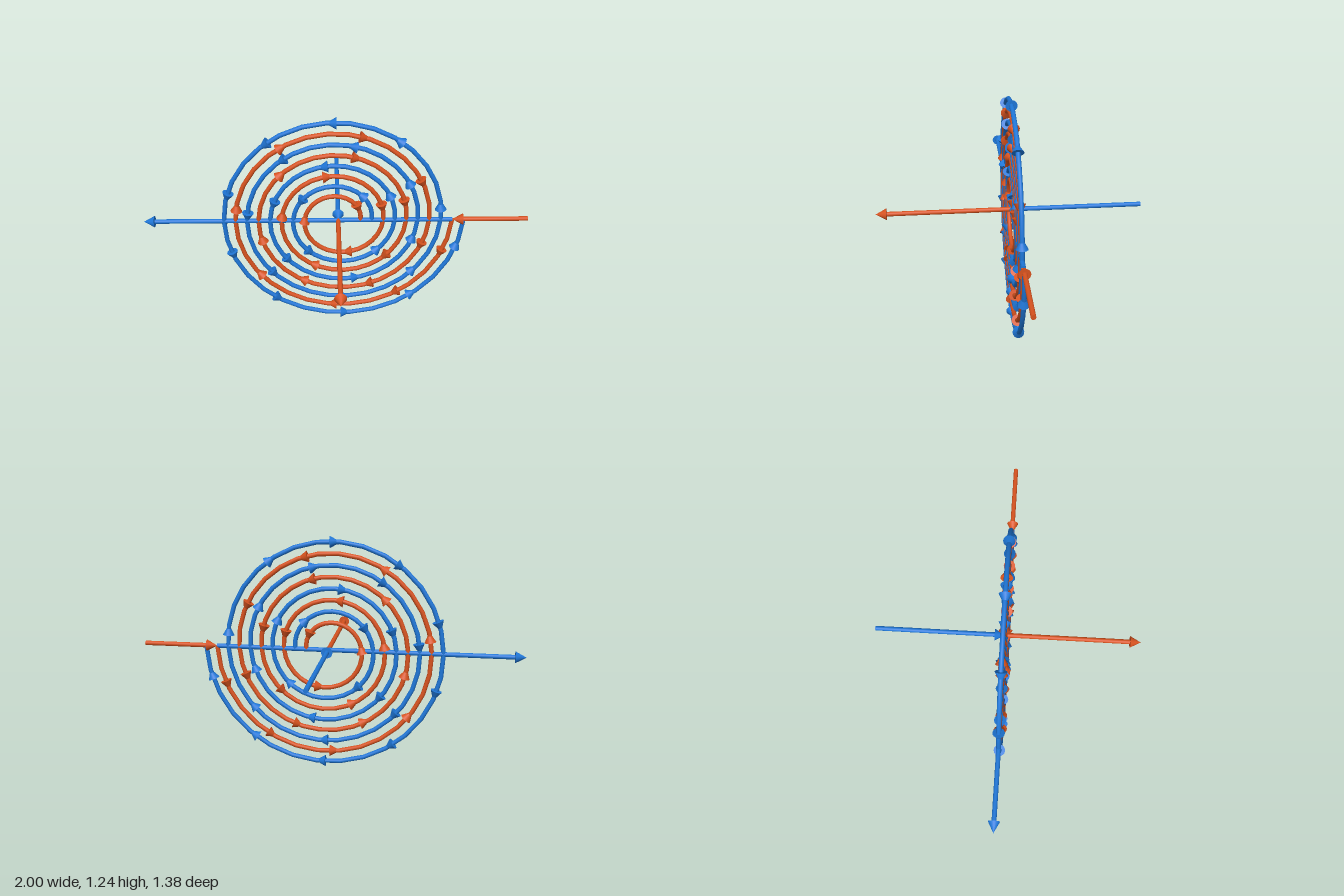
import * as THREE from 'three';

const CENTRE = new THREE.Vector3(0.01, 0.657, -0.011);
const ROD = 0.012, HEAD = 0.03, HEAD_LEN = 0.056;
const TURNS = 4, PER_TURN = 30, STEPS = TURNS * PER_TURN;
const PITCH = 0.12, ARROW_GAP = 0.35;
const UP = new THREE.Vector3(0, 1, 0);

// Flat spiral growing counter-clockwise from radius r0
class Spiral extends THREE.Curve {
  constructor(r0) { super(); this.r0 = r0; }
  getPoint(t, target = new THREE.Vector3()) {
    const a = t * TURNS * Math.PI * 2;
    const r = this.r0 + PITCH * TURNS * t;
    return target.set(r * Math.cos(a), r * Math.sin(a), 0);
  }
  getPointAt(t, target) { return this.getPoint(t, target); }
  getTangentAt(t, target) { return this.getTangent(t, target); }
}

function addMesh(group, name, geometry, material) {
  const mesh = new THREE.Mesh(geometry, material);
  mesh.name = name;
  group.add(mesh);
  return mesh;
}

// Tapered or straight round bar from a to b
function addBar(group, name, a, b, rA, rB, material) {
  const dir = b.clone().sub(a);
  const geo = new THREE.CylinderGeometry(rB, rA, dir.length(), 16);
  const bar = addMesh(group, name, geo, material);
  bar.position.copy(a).add(b).multiplyScalar(0.5);
  bar.quaternion.setFromUnitVectors(UP, dir.normalize());
  return bar;
}

// Cone with its tip at the given point
function addHead(group, tip, dir, material) {
  const base = tip.clone().addScaledVector(dir, -HEAD_LEN);
  addBar(group, 'arrowHead', base, tip, HEAD, 0, material);
}

function addArrow(group, name, from, to, material) {
  const arrow = new THREE.Group();
  arrow.name = name;
  const dir = to.clone().sub(from).normalize();
  const neck = to.clone().addScaledVector(dir, -HEAD_LEN * 0.9);
  addBar(arrow, 'arrowShaft', from, neck, ROD, ROD, material);
  addHead(arrow, to, dir, material);
  group.add(arrow);
}

// Spiral wire with arrow heads set at regular lengths along its travel
function addSpiral(group, name, r0, inward, material) {
  const part = new THREE.Group();
  part.name = name;
  const curve = new Spiral(r0);
  const at = (k) => curve.getPoint(k / STEPS);
  addMesh(part, 'spiralWire', new THREE.TubeGeometry(curve, STEPS, ROD, 12), material);

  // closed ends; the outward spiral finishes in a fine point
  for (const k of [0, STEPS]) {
    const tangent = curve.getTangentAt(k / STEPS).multiplyScalar(k ? 1 : -1);
    const cap = addMesh(part, 'wireEnd', new THREE.CircleGeometry(ROD, 12), material);
    cap.position.copy(at(k));
    cap.quaternion.setFromUnitVectors(new THREE.Vector3(0, 0, 1), tangent);
  }

  let travelled = ARROW_GAP / 2;
  for (let i = 1; i <= STEPS; i++) {
    const prev = at(inward ? STEPS - i + 1 : i - 1);
    const here = at(inward ? STEPS - i : i);
    const dir = here.clone().sub(prev);
    travelled += dir.length();
    if (travelled < ARROW_GAP) continue;
    travelled = 0;
    dir.normalize();
    addHead(part, here.clone().addScaledVector(dir, 0.006), dir, material);
  }
  part.position.copy(CENTRE);
  group.add(part);
}

export function createModel() {
  const model = new THREE.Group();
  model.name = 'spiralArrows';
  const blue = new THREE.MeshStandardMaterial({ color: 0x1f77d8 });
  blue.name = 'blue';
  const orange = new THREE.MeshStandardMaterial({ color: 0xd8531f });
  orange.name = 'orange';

  // interleaved spirals: blue runs outward, orange runs inward
  addSpiral(model, 'outwardSpiral', 0.175, false, blue);
  addSpiral(model, 'inwardSpiral', 0.115, true, orange);

  // straight arrows across the disc and through its centre
  const p = (x, z) => new THREE.Vector3(x, CENTRE.y, z);
  const { x: cx, z: cz } = CENTRE;
  addArrow(model, 'sideInArrow', p(1, cz), p(0.605, cz), orange);
  addArrow(model, 'sideOutArrow', p(0.605, cz), p(-1, cz), blue);
  addArrow(model, 'backInArrow', p(cx, -0.69), p(cx, cz), blue);
  addArrow(model, 'frontOutArrow', p(cx, cz), p(cx, 0.69), orange);
  return model;
}
